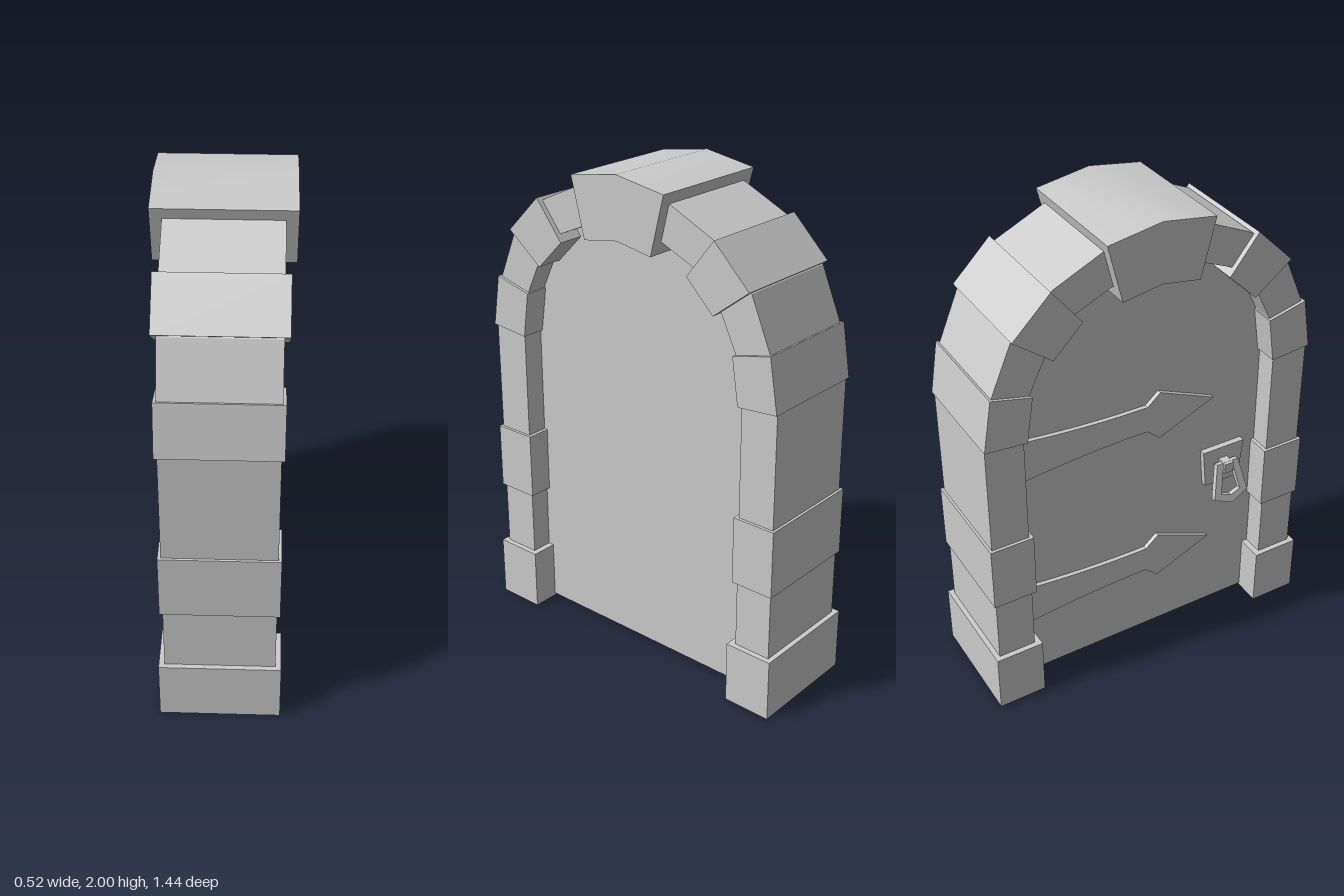
import * as THREE from 'three';
import { toCreasedNormals } from 'three/addons/utils/BufferGeometryUtils.js';

const stone = new THREE.MeshStandardMaterial({ color: 0xcccccc });

const toShape = (points) => new THREE.Shape(points.map(([z, y]) => new THREE.Vector2(z, y)));

// Mirrors a half outline, given from z > 0 up to the middle, onto the other side
const mirrored = (half) => [...half, ...half.filter(([z]) => z > 0).reverse().map(([z, y]) => [-z, y])];

// Extrudes a (z, y) shape along x, spanning x0 to x1
function slab(shape, x0, x1) {
  const geometry = new THREE.ExtrudeGeometry(shape, { depth: x1 - x0, bevelEnabled: false });
  geometry.rotateY(-Math.PI / 2);
  geometry.translate(x1, 0, 0);
  return geometry;
}

export function createModel() {
  const model = new THREE.Group();
  model.name = 'archedDoor';

  function add(name, geometry, parent = model) {
    const mesh = new THREE.Mesh(geometry, stone);
    mesh.name = name;
    parent.add(mesh);
    return mesh;
  }

  // Recessed door leaf
  const leaf = mirrored([[0.6, 0.01], [0.6, 1.25], [0.57, 1.46], [0.49, 1.63], [0.37, 1.76], [0.2, 1.84], [0, 1.86]]);
  add('doorLeaf', slab(toShape(leaf), -0.125, 0.125));

  // Continuous pillars and arch behind the raised stones
  const outer = mirrored([[0.7, 0.01], [0.7, 1.26], [0.66, 1.475], [0.575, 1.675], [0.41, 1.83], [0.21, 1.922], [0, 1.95]]);
  const inner = mirrored([[0.545, 0.01], [0.545, 1.25], [0.51, 1.445], [0.435, 1.6], [0.34, 1.705], [0.18, 1.775], [0, 1.79]]);
  add('archFrame', slab(toShape([...outer, ...inner.reverse()]), -0.214, 0.214));

  // Raised stones, the same on both sides: name, half thickness, (z, y) corners
  const stones = [
    ['baseStone', 0.236, [[0.52, 0], [0.72, 0], [0.72, 0.255], [0.52, 0.255]]],
    ['middleStone', 0.226, [[0.53, 0.53], [0.71, 0.53], [0.71, 0.805], [0.53, 0.805]]],
    ['lowerArchStone', 0.226, [[0.535, 1.248], [0.705, 1.263], [0.67, 1.475], [0.507, 1.435]]],
    ['upperArchStone', 0.235, [[0.425, 1.565], [0.58, 1.685], [0.425, 1.838], [0.305, 1.685]]],
  ];
  for (const [name, half, corners] of stones) {
    for (const side of [1, -1]) {
      const shape = toShape(corners.map(([z, y]) => [z * side, y]));
      add(name + (side > 0 ? 'Front' : 'Back'), slab(shape, -half, half));
    }
  }

  // Keystone with a softly curved crown
  const keystone = toShape([[0.16, 1.73], [0.22, 1.965], [0, 2], [-0.22, 1.965], [-0.16, 1.73], [0, 1.757]]);
  add('keystone', toCreasedNormals(slab(keystone, -0.258, 0.258), 0.4));

  // Arrow-ended strap hinges
  for (const [name, y] of [['lowerHinge', 0.388], ['upperHinge', 1.1]]) {
    const strap = new THREE.Shape();
    strap.moveTo(-0.56, -0.095);
    strap.quadraticCurveTo(-0.25, -0.055, 0.017, -0.058);
    strap.lineTo(0.073, -0.107);
    strap.lineTo(0.32, 0);
    strap.lineTo(0.073, 0.107);
    strap.lineTo(0.017, 0.058);
    strap.quadraticCurveTo(-0.25, 0.055, -0.56, 0.095);
    add(name, slab(strap, -0.143, -0.12)).position.y = y;
  }

  // Handle: back plate, pivot and hanging tapered ring
  const handle = new THREE.Group();
  handle.name = 'handle';
  model.add(handle);
  const plate = toShape([[0.295, 0.67], [0.455, 0.67], [0.475, 0.84], [0.28, 0.84]]);
  add('handlePlate', slab(plate, -0.15, -0.12), handle);
  add('handlePivot', new THREE.BoxGeometry(0.06, 0.045, 0.04), handle).position.set(-0.17, 0.765, 0.375);

  const ringShape = toShape([[-0.08, -0.15], [0, -0.185], [0.08, -0.15], [0.05, 0], [-0.05, 0]]);
  ringShape.holes.push(new THREE.Path([[-0.045, -0.135], [-0.025, -0.03], [0.025, -0.03], [0.045, -0.135], [0, -0.15]]
    .map(([z, y]) => new THREE.Vector2(z, y))));
  const ring = add('handleRing', slab(ringShape, -0.012, 0.012), handle);
  ring.position.set(-0.175, 0.785, 0.375);
  ring.rotation.z = -0.25;

  return model;
}
